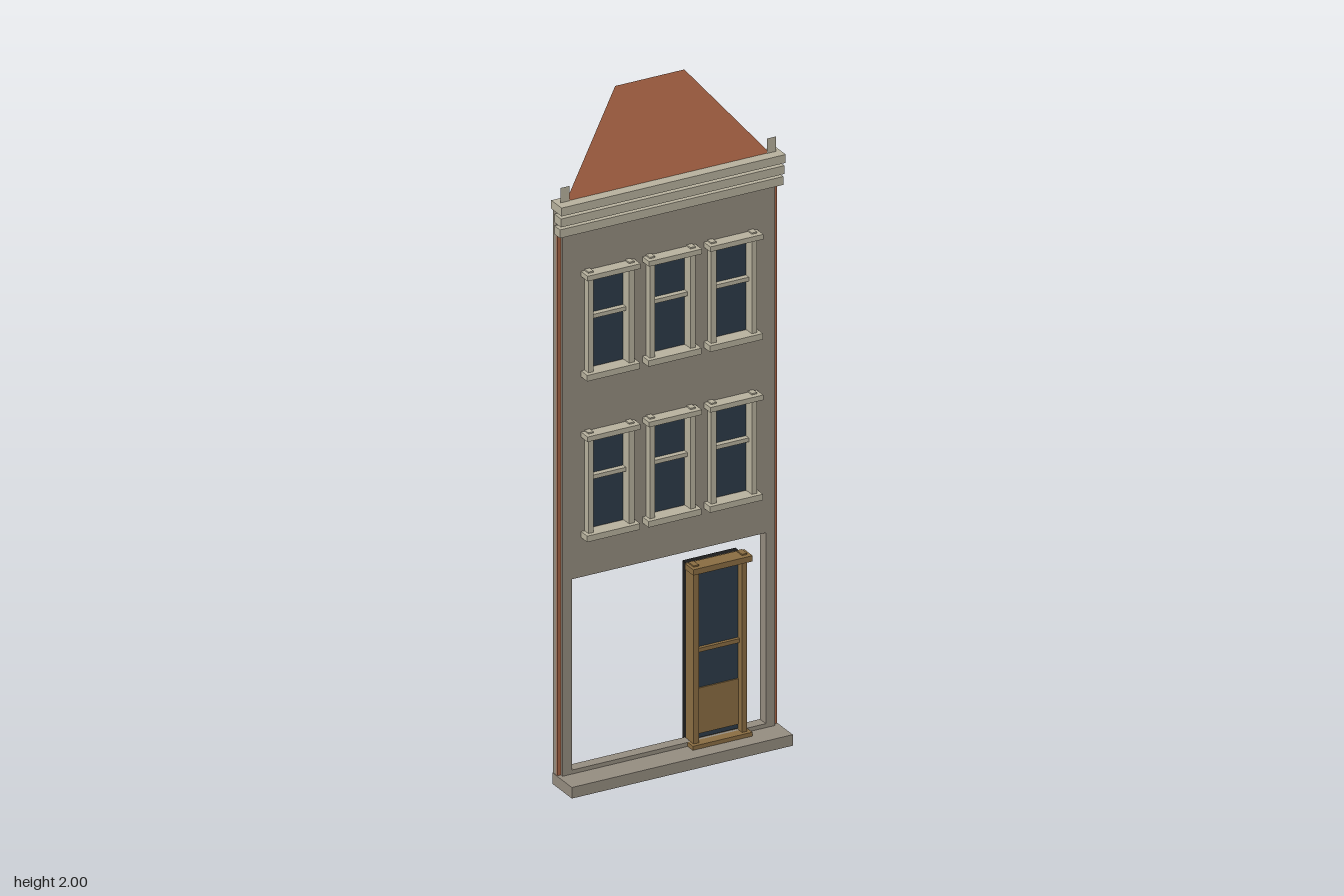
import * as THREE from 'three';

const mat = (name, color) => {
  const m = new THREE.MeshStandardMaterial({ color });
  m.name = name;
  return m;
};

export function createModel() {
  const house = new THREE.Group();
  house.name = 'townhouseFacade';
  const stone = mat('wall stone', 0x958d80);
  const cream = mat('cream trim', 0xb8b29e);
  const tile = mat('roof tile', 0xa86344);
  tile.side = THREE.DoubleSide;
  const wood = mat('door wood', 0x8a6d42);
  const glass = mat('dark glass', 0x2d3c49);
  const black = mat('black backing', 0x1c1c1c);
  const creamSheet = mat('cream sheet', 0xb8b29e);
  creamSheet.side = THREE.DoubleSide;

  // Box given by its limits on each axis
  const box = (parent, name, m, x0, x1, y0, y1, z0, z1) => {
    const mesh = new THREE.Mesh(new THREE.BoxGeometry(x1 - x0, y1 - y0, z1 - z0), m);
    mesh.position.set((x0 + x1) / 2, (y0 + y1) / 2, (z0 + z1) / 2);
    mesh.name = name;
    parent.add(mesh);
    return mesh;
  };
  const rect = (P, x0, x1, y0, y1) => new P([
    new THREE.Vector2(x0, y0), new THREE.Vector2(x1, y0),
    new THREE.Vector2(x1, y1), new THREE.Vector2(x0, y1)]);

  const columns = [-0.19, 0, 0.19];
  const floors = [0.745, 1.225];
  const winH = 0.295;

  // Wall in two layers, pierced by the shopfront and the windows
  const wall = (name, half, top, z0, z1) => {
    const s = rect(THREE.Shape, -half, half, 0.03, top);
    s.holes.push(rect(THREE.Path, -0.3, 0.3, 0.045, 0.615));
    for (const y of floors) for (const x of columns)
      s.holes.push(rect(THREE.Path, x - 0.06, x + 0.06, y + 0.005, y + winH - 0.005));
    const g = new THREE.ExtrudeGeometry(s, { depth: z1 - z0, bevelEnabled: false });
    const mesh = new THREE.Mesh(g, stone);
    mesh.position.z = z0;
    mesh.name = name;
    house.add(mesh);
  };
  wall('backWall', 0.34, 1.725, -0.017, 0.002);
  wall('frontWall', 0.329, 1.725, 0.002, 0.016);
  box(house, 'plinth', stone, -0.342, 0.342, 0, 0.033, -0.017, 0.09);

  // Brick edges and parapet tabs at both sides
  for (const s of [-1, 1]) {
    box(house, 'brickEdge', tile, s * 0.3345 - 0.0055, s * 0.3345 + 0.0055, 0.033, 1.65, 0.002, 0.006);
    const tab = new THREE.Mesh(new THREE.PlaneGeometry(0.028, 0.045), creamSheet);
    tab.position.set(s * 0.32, 1.767, 0.012);
    tab.name = 'parapetTab';
    house.add(tab);
  }

  // Stepped cornice
  box(house, 'corniceLow', cream, -0.346, 0.346, 1.65, 1.675, 0.0, 0.031);
  box(house, 'corniceMiddle', cream, -0.346, 0.346, 1.685, 1.71, 0.0, 0.037);
  box(house, 'corniceTop', cream, -0.347, 0.347, 1.72, 1.745, -0.015, 0.042);

  // Leaning roof sheet
  const roof = new THREE.ShapeGeometry(new THREE.Shape([
    new THREE.Vector2(-0.315, 0), new THREE.Vector2(0.315, 0),
    new THREE.Vector2(0.107, 1), new THREE.Vector2(-0.107, 1)]));
  const p = roof.attributes.position;
  for (let i = 0; i < p.count; i++) {
    const t = p.getY(i);
    p.setXYZ(i, p.getX(i), 1.745 + 0.255 * t, 0.01 - 0.1 * t);
  }
  roof.computeVertexNormals();
  const roofMesh = new THREE.Mesh(roof, tile);
  roofMesh.name = 'roof';
  house.add(roofMesh);

  // Sash windows
  for (const y of floors) for (const x of columns) {
    const w = new THREE.Group();
    w.name = 'window';
    w.position.set(x, y, 0);
    house.add(w);
    box(w, 'backing', black, -0.069, 0.069, 0, winH, -0.027, -0.017);
    box(w, 'pane', glass, -0.06, 0.06, 0.005, winH - 0.005, -0.002, 0.004);
    for (const s of [-1, 1])
      box(w, 'jamb', cream, s * 0.063 - 0.008, s * 0.063 + 0.008, 0, winH + 0.012, 0.004, 0.037);
    box(w, 'sashRail', cream, -0.056, 0.056, 0.156, 0.168, 0.004, 0.02);
    box(w, 'lintel', cream, -0.082, 0.082, winH - 0.007, winH + 0.008, 0.01, 0.052);
    box(w, 'sill', cream, -0.082, 0.082, -0.012, 0.006, 0.01, 0.05);
  }

  // Door with glazed upper part
  const d = new THREE.Group();
  d.name = 'door';
  d.position.x = 0.15;
  house.add(d);
  box(d, 'doorBacking', black, -0.082, 0.082, 0.034, 0.567, -0.031, -0.012);
  box(d, 'doorLeaf', wood, -0.082, 0.082, 0.034, 0.567, -0.012, 0.006);
  box(d, 'upperPane', glass, -0.068, 0.068, 0.198, 0.56, 0.006, 0.01);
  box(d, 'lowerPane', glass, -0.068, 0.068, 0.048, 0.062, 0.006, 0.01);
  box(d, 'lowerPanel', wood, -0.068, 0.068, 0.062, 0.198, 0.006, 0.014);
  box(d, 'doorRail', wood, -0.068, 0.068, 0.308, 0.32, 0.006, 0.02);
  for (const s of [-1, 1])
    box(d, 'doorJamb', wood, s * 0.075 - 0.008, s * 0.075 + 0.008, 0.034, 0.577, 0.004, 0.033);
  box(d, 'doorLintel', wood, -0.092, 0.092, 0.556, 0.573, 0.0, 0.047);
  box(d, 'doorSill', wood, -0.092, 0.092, 0.033, 0.045, 0.0, 0.045);

  return house;
}
